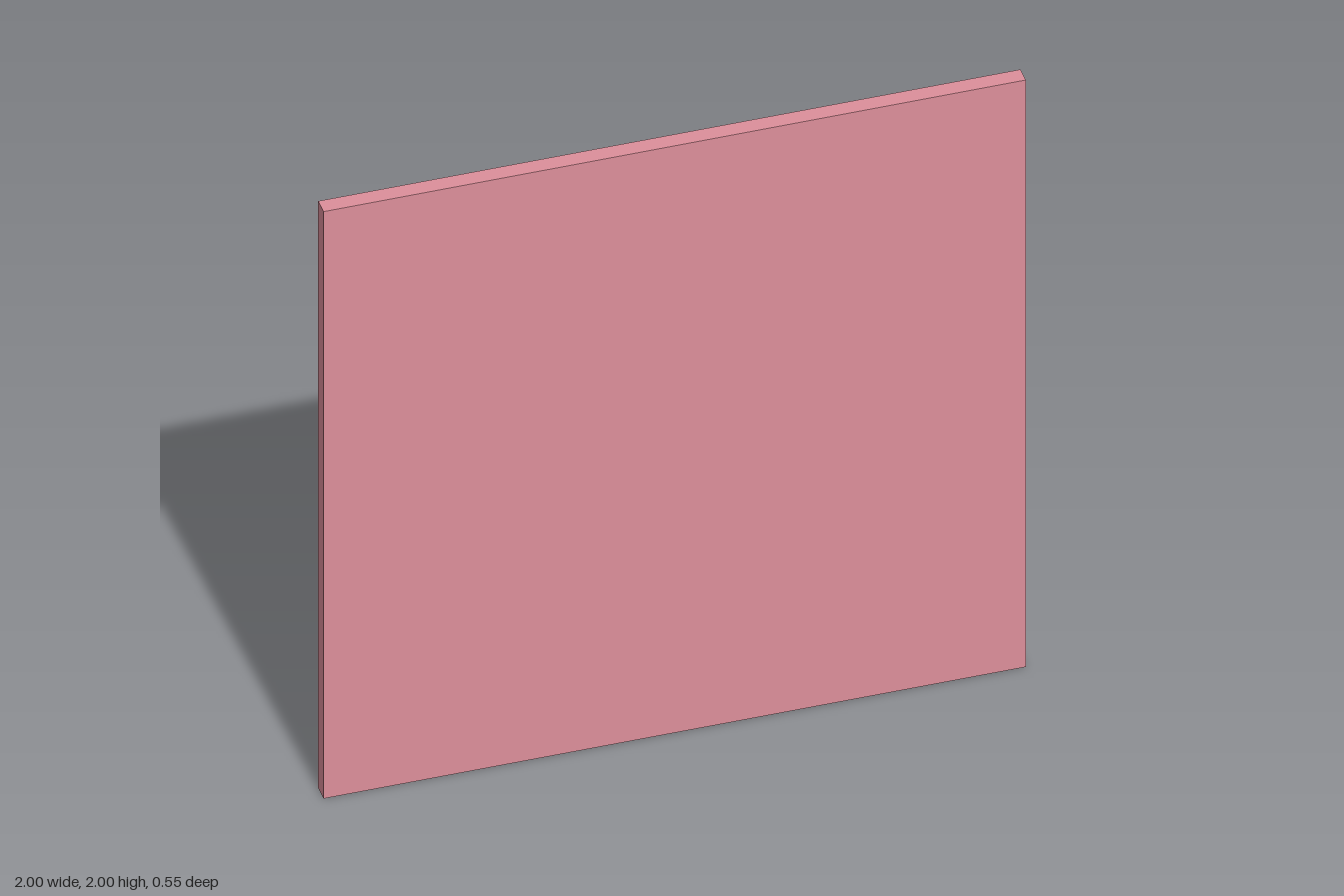
import * as THREE from 'three';

const pink = new THREE.MeshStandardMaterial({ color: 0xdd8f9b, flatShading: true });
const blue = new THREE.MeshStandardMaterial({ color: 0x83ccdb, flatShading: true });

export function createModel() {
  const model = new THREE.Group();

  const add = (parent, name, geometry, material, x, y, z) => {
    const mesh = new THREE.Mesh(geometry, material);
    mesh.name = name;
    mesh.position.set(x, y, z);
    parent.add(mesh);
    return mesh;
  };
  const box = (w, h, d) => new THREE.BoxGeometry(w, h, d);
  const group = (name) => {
    const g = new THREE.Group();
    g.name = name;
    model.add(g);
    return g;
  };

  // Large square board
  add(model, 'board', box(2, 2, 0.05), pink, 0, 1, 0.25);

  // Low plank with a thin divider strip
  const plank = group('plank');
  add(plank, 'plankPanel', box(1.48, 0.39, 0.019), blue, 0, 0.425, 0.207);
  add(plank, 'dividerStrip', box(0.04, 0.375, 0.015), pink, 0, 0.425, 0.202);

  // Free-standing eight-sided cone
  add(model, 'cone', new THREE.CylinderGeometry(0.07, 0.198, 0.31, 8), blue, -0.535, 0.605, 0.067);

  // Box with a tapered funnel running through it
  const lantern = group('lantern');
  add(lantern, 'lanternBox', box(0.205, 0.205, 0.32), blue, 0.488, 1.002, 0.066);
  add(lantern, 'lanternFunnel', new THREE.CylinderGeometry(0.053, 0.143, 0.335, 8), blue, 0.488, 1.003, 0.057);

  // Central block with crossbar, axle, side rod and ball
  const centre = group('centrePiece');
  add(centre, 'block', box(0.198, 0.157, 0.326), pink, 0, 1.002, 0.043).rotation.y = 0.07;
  add(centre, 'crossbar', box(0.457, 0.15, 0.07), blue, -0.002, 1.002, 0.05);
  add(centre, 'axle', box(0.495, 0.05, 0.03), pink, -0.002, 1, 0.05);
  add(centre, 'sideRod', box(0.035, 0.035, 0.265), blue, 0.15, 1.002, -0.002);
  add(centre, 'ball', new THREE.IcosahedronGeometry(0.09, 1), blue, 0, 1, -0.187);

  return model;
}
